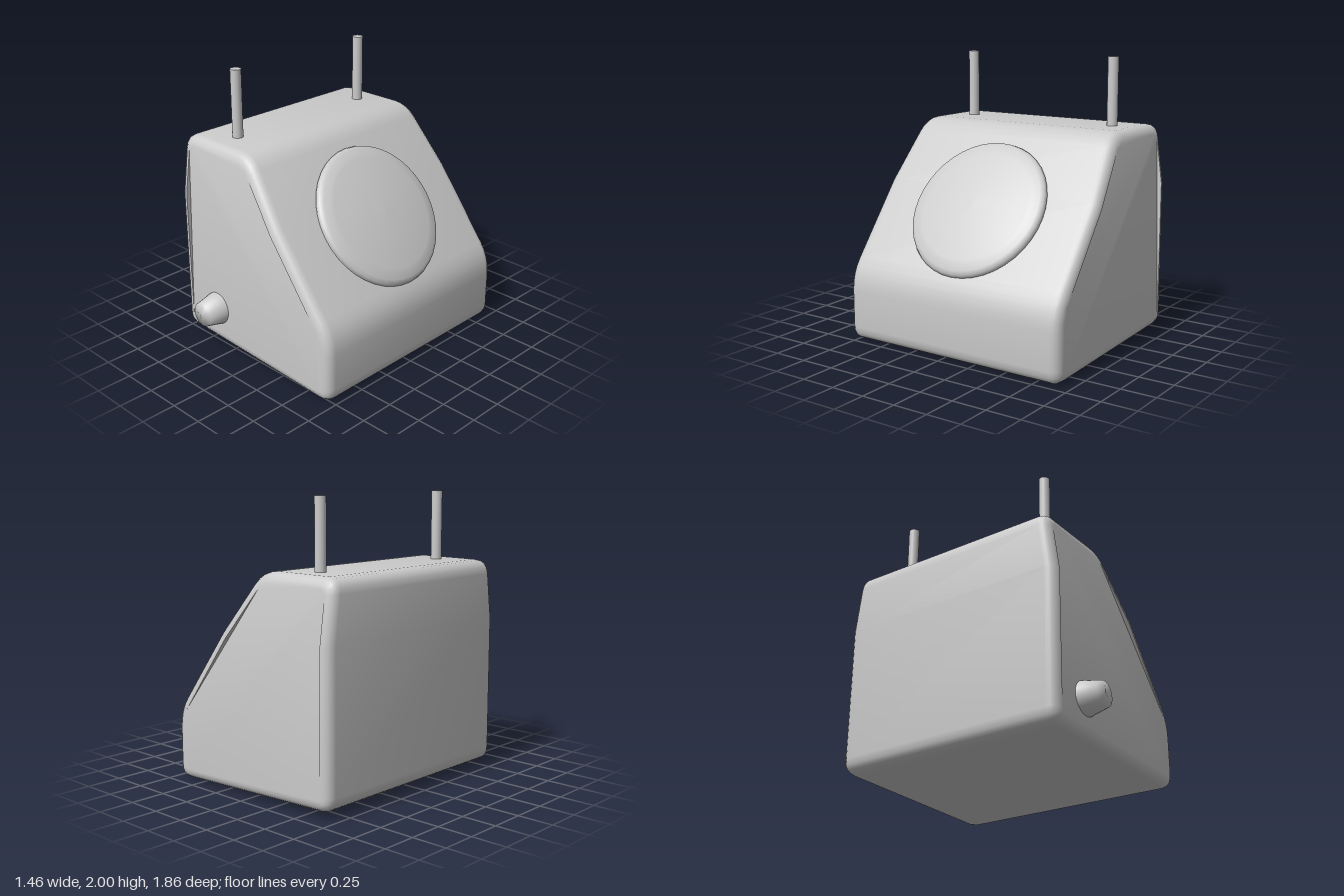
import * as THREE from 'three';
import { toCreasedNormals } from 'three/addons/utils/BufferGeometryUtils.js';

const material = new THREE.MeshStandardMaterial({ color: 0xcccccc });

function addMesh(parent, name, geometry) {
  const mesh = new THREE.Mesh(geometry, material);
  mesh.name = name;
  parent.add(mesh);
  return mesh;
}

// Closed outline with every corner [x, y, cut] rounded over the length cut (0 keeps a plain point)
function roundedShape(corners) {
  const shape = new THREE.Shape();
  const n = corners.length;
  corners.forEach(([x, y, cut], i) => {
    const p = new THREE.Vector2(x, y);
    const toward = (c) => new THREE.Vector2(c[0], c[1]).sub(p).setLength(cut).add(p);
    const a = cut ? toward(corners[(i + n - 1) % n]) : p;
    const b = cut ? toward(corners[(i + 1) % n]) : p;
    if (i === 0) shape.moveTo(a.x, a.y);
    else shape.lineTo(a.x, a.y);
    if (cut) shape.quadraticCurveTo(x, y, b.x, b.y);
  });
  shape.closePath();
  return shape;
}

// Wedge-shaped housing: side profile extruded along z, narrowing towards the top
function housingGeometry() {
  const bevel = 0.07, halfWidth = 0.865, taperStart = 1.1;
  const shape = roundedShape([
    [-0.73, 0.053, 0.1],
    [0.73, 0, 0.1],
    [0.73, 0.49, 0.13],
    [0.259, taperStart, 0],
    [-0.07, 1.52, 0.11],
    [-0.73, 1.52, 0.1],
    [-0.73, taperStart, 0],
  ]);
  const geometry = new THREE.ExtrudeGeometry(shape, {
    depth: 2 * (halfWidth - bevel),
    curveSegments: 4,
    bevelSegments: 4,
    bevelThickness: bevel,
    bevelSize: bevel,
    bevelOffset: -bevel,
  });
  geometry.translate(0, 0, bevel - halfWidth);
  const pos = geometry.attributes.position;
  for (let i = 0; i < pos.count; i++) {
    const taper = Math.max(0, pos.getY(i) - taperStart) * 0.14;
    pos.setZ(i, pos.getZ(i) * (1 - taper / halfWidth));
  }
  geometry.translate(0, 0, -0.065);
  return toCreasedNormals(geometry, 0.7);
}

function lathe(points, segments) {
  return new THREE.LatheGeometry(points.map(([r, y]) => new THREE.Vector2(r, y)), segments);
}

export function createModel() {
  const model = new THREE.Group();
  model.name = 'wedgeBox';

  addMesh(model, 'housing', housingGeometry());

  // Domed round dial lying on the sloped face
  const dial = addMesh(model, 'dial', lathe([
    [0.48, -0.03], [0.505, -0.01], [0.515, 0.01], [0.505, 0.035], [0.48, 0.05],
    [0.43, 0.064], [0.41, 0.067], [0.3, 0.082], [0.15, 0.094], [0, 0.098],
  ], 40));
  dial.position.set(0.35, 0.98, -0.062);
  dial.quaternion.setFromUnitVectors(
    new THREE.Vector3(0, 1, 0), new THREE.Vector3(0.797, 0.604, 0).normalize());

  // Tapered knob on the side wall
  const knob = addMesh(model, 'sideKnob', lathe([
    [0.118, -0.02], [0.117, 0], [0.087, 0.135], [0, 0.136],
  ], 24));
  knob.position.set(-0.385, 0.3, 0.798);
  knob.rotation.x = Math.PI / 2;

  // Two upright rods on the top
  for (const [name, z] of [['frontRod', 0.525], ['backRod', -0.66]]) {
    const rod = addMesh(model, name, new THREE.CylinderGeometry(0.038, 0.038, 0.52, 16));
    rod.position.set(-0.41, 1.74, z);
  }

  return model;
}
